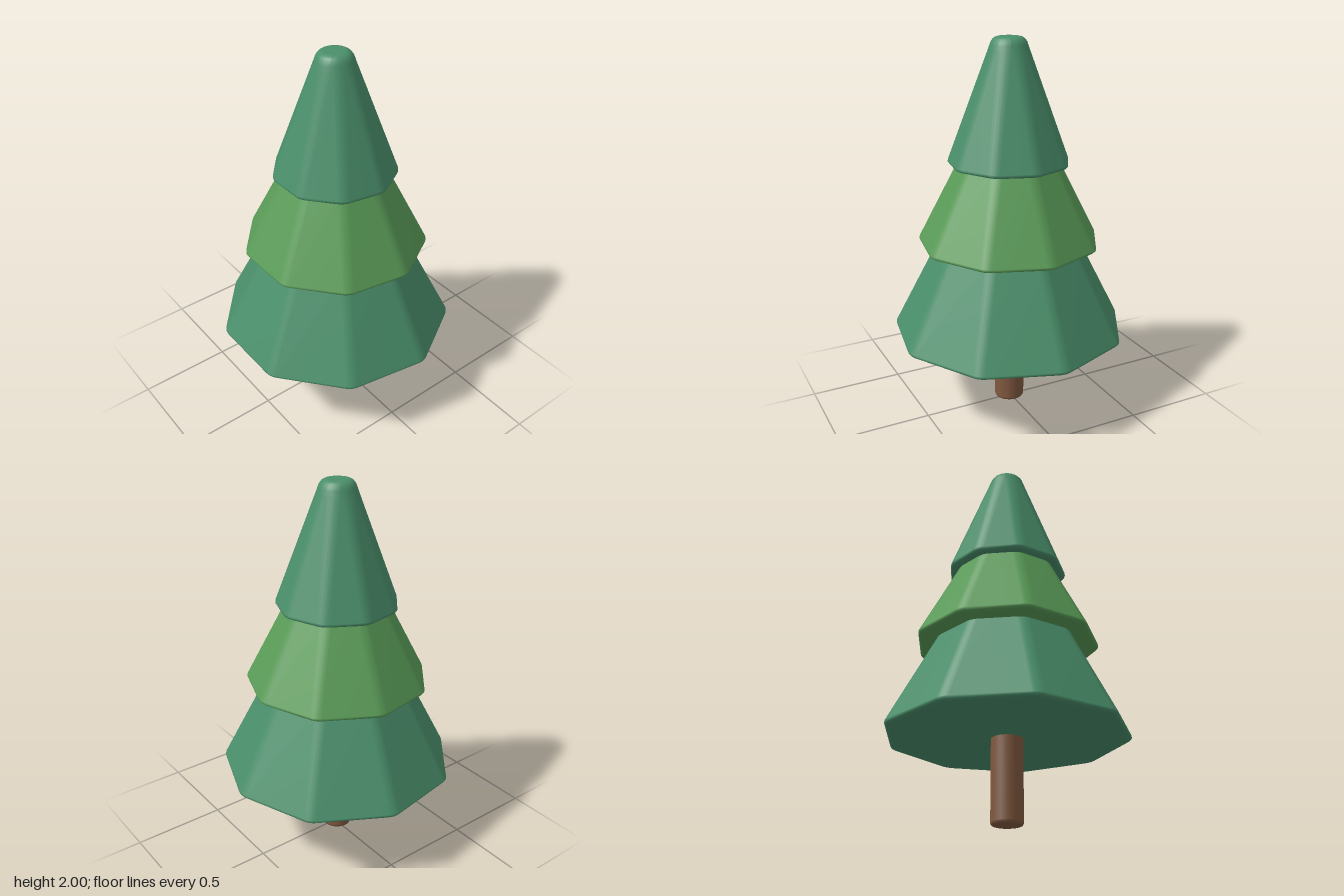
import * as THREE from 'three';

const SIDES = 9;
const HALF = Math.PI / SIDES;
const ARC = 4;          // segments in each rounded corner
const FILLET = 0.09;    // corner radius, kept constant so narrow rings become round
const AXIS_Z = 0.014;

// Nine-sided ring with rounded corners; r is the radius of the sharp corners
function ring(r, y) {
  const f = Math.min(FILLET, r * Math.cos(HALF) * 0.98);
  const inner = r - f / Math.cos(HALF);
  const points = [];
  for (let k = 0; k < SIDES; k++) {
    const a = HALF * (2 * k + 1);
    for (let s = 0; s <= ARC; s++) {
      const n = a - HALF + (2 * HALF * s) / ARC;
      points.push([
        inner * Math.sin(a) + f * Math.sin(n), y,
        inner * Math.cos(a) + f * Math.cos(n)]);
    }
  }
  return points;
}

// Skin through the rings of a profile of [radius, height], closed at both ends
function loft(profile) {
  const rings = profile.map(([r, y]) => ring(r, y));
  const n = rings[0].length;
  const pos = rings.flat(2);
  const index = [];
  for (let j = 0; j < rings.length - 1; j++) {
    for (let i = 0; i < n; i++) {
      const k = (i + 1) % n;
      const a = j * n + i, b = j * n + k, c = b + n, d = a + n;
      index.push(a, b, c, a, c, d);
    }
  }
  // Flat caps have their own vertices so the rim stays crisp
  const cap = (points, up) => {
    const base = pos.length / 3;
    pos.push(...points.flat(), 0, points[0][1], 0);
    for (let i = 0; i < n; i++) {
      const a = base + i, b = base + (i + 1) % n;
      index.push(...(up ? [a, b, base + n] : [b, a, base + n]));
    }
  };
  cap(rings[0], false);
  cap(rings[rings.length - 1], true);
  const geometry = new THREE.BufferGeometry();
  geometry.setAttribute('position', new THREE.Float32BufferAttribute(pos, 3));
  geometry.setIndex(index);
  geometry.computeVertexNormals();
  return geometry;
}

// Softly rounded lower rim shared by all tiers
const rim = (r, y) => [[r - 0.018, y], [r - 0.006, y + 0.004], [r, y + 0.011], [r - 0.001, y + 0.021]];

export function createModel() {
  const tree = new THREE.Group();
  tree.name = 'pineTree';

  const material = (name, color) => {
    const m = new THREE.MeshStandardMaterial({ color });
    m.name = name;
    return m;
  };
  const darkGreen = material('darkGreen', 0x4a8f6b);
  const leafGreen = material('leafGreen', 0x5a9c58);
  const bark = material('bark', 0x80593f);

  const add = (name, geometry, mat) => {
    const mesh = new THREE.Mesh(geometry, mat);
    mesh.name = name;
    mesh.position.z = AXIS_Z;
    tree.add(mesh);
  };

  // Foliage, each tier running a little way into the one above
  add('lowerFoliage', loft([...rim(0.633, 0.43), [0.382, 0.935], [0.361, 0.975]]), darkGreen);
  add('middleFoliage', loft([...rim(0.487, 0.93), [0.277, 1.355], [0.257, 1.395]]), leafGreen);
  add('upperFoliage', loft([...rim(0.324, 1.355),
    [0.109, 1.94], [0.103, 1.957], [0.096, 1.975], [0.085, 1.989], [0.072, 1.997], [0.058, 2]]), darkGreen);

  // Trunk with a bevelled foot
  const trunk = [[0, 0], [0.07, 0], [0.07, 0], [0.077, 0.003], [0.081, 0.012], [0.081, 0.015], [0.081, 0.46]];
  add('trunk', new THREE.LatheGeometry(trunk.map(([x, y]) => new THREE.Vector2(x, y)), 32), bark);

  return tree;
}
